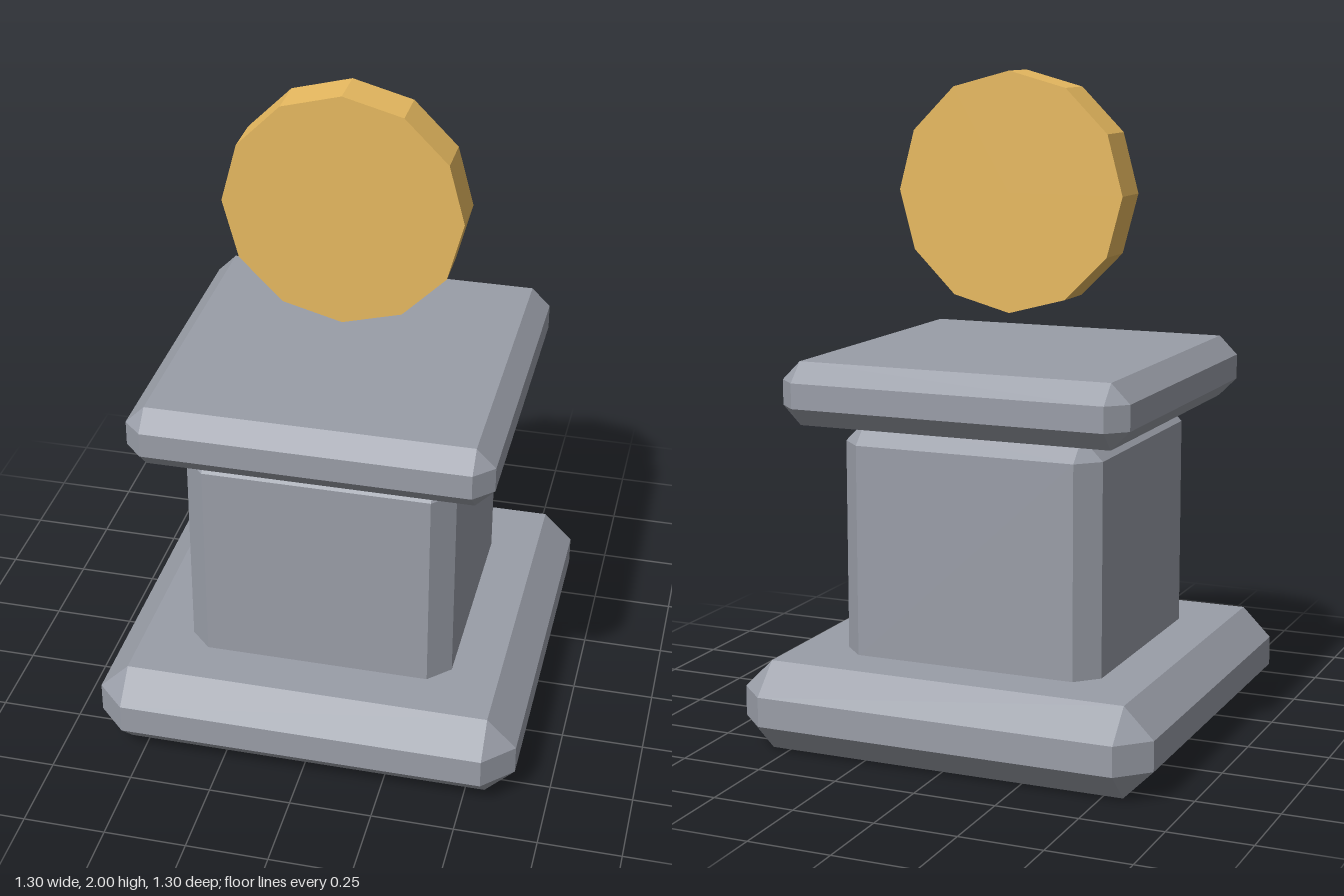
import * as THREE from 'three';
import { ConvexGeometry } from 'three/addons/geometries/ConvexGeometry.js';

const stone = new THREE.MeshStandardMaterial({ color: 0x9a9ea8, flatShading: true });
const gold = new THREE.MeshStandardMaterial({ color: 0xe8ba60, flatShading: true });

// Square block with every edge chamfered: three points at each of its eight corners
function chamferedBlock(name, half, bottom, top, chamfer) {
  const h = (top - bottom) / 2;
  const points = [];
  for (const x of [-1, 1]) for (const y of [-1, 1]) for (const z of [-1, 1]) {
    const inner = half - chamfer;
    points.push(
      new THREE.Vector3(x * half, y * (h - chamfer), z * inner),
      new THREE.Vector3(x * inner, y * h, z * inner),
      new THREE.Vector3(x * inner, y * (h - chamfer), z * half)
    );
  }
  const mesh = new THREE.Mesh(new ConvexGeometry(points), stone);
  mesh.name = name;
  mesh.position.y = (bottom + top) / 2;
  return mesh;
}

export function createModel() {
  const model = new THREE.Group();
  model.name = 'coinPedestal';

  // Stone pedestal; the column is sunk into the base
  model.add(
    chamferedBlock('base', 0.648, 0, 0.27, 0.09),
    chamferedBlock('column', 0.41, 0.2, 0.975, 0.065),
    chamferedBlock('cap', 0.543, 0.975, 1.165, 0.057)
  );

  // Twelve-sided coin floating upright above the cap
  const coin = new THREE.Mesh(new THREE.CylinderGeometry(0.36, 0.36, 0.135, 12), gold);
  coin.name = 'coin';
  coin.rotation.x = Math.PI / 2;
  coin.position.y = 1.64;
  model.add(coin);

  return model;
}
